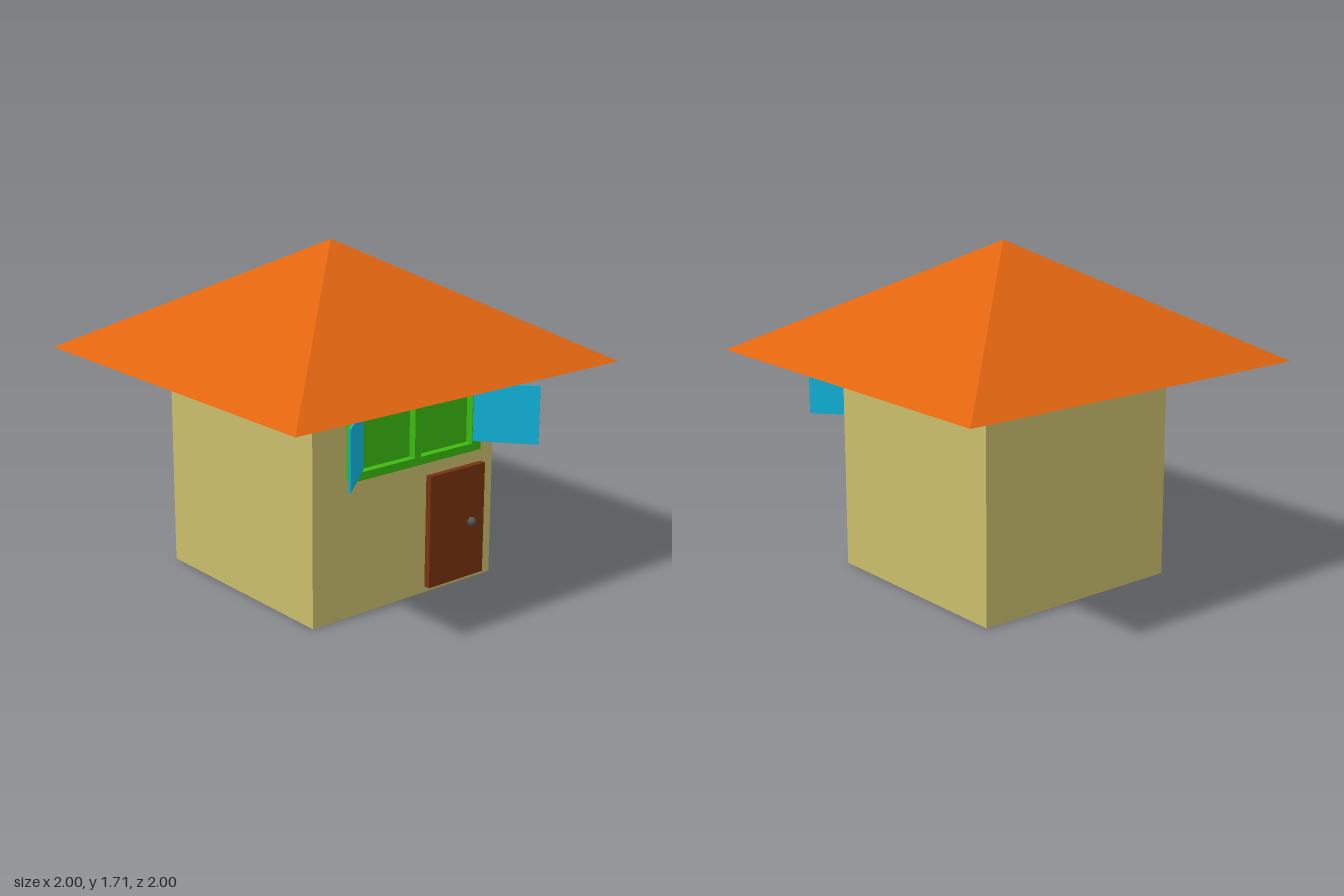
import * as THREE from 'three';

const paint = (color) => new THREE.MeshStandardMaterial({ color, flatShading: true });

export function createModel() {
  const house = new THREE.Group();
  house.name = 'house';
  const cream = paint(0xcabd6c), orange = paint(0xe0640f), green = paint(0x3cba10);
  const blue = paint(0x12b4dc), brown = paint(0x78320f);

  const add = (parent, name, geometry, material, x, y, z) => {
    const mesh = new THREE.Mesh(geometry, material);
    mesh.name = name;
    mesh.position.set(x, y, z);
    parent.add(mesh);
    return mesh;
  };

  // Walls and pyramid roof with a closed underside
  add(house, 'walls', new THREE.BoxGeometry(1.15, 1.125, 1.15), cream, 0, 0.5625, 0);
  const roof = new THREE.ConeGeometry(Math.SQRT2, 0.58, 4);
  roof.rotateY(Math.PI / 4);
  add(house, 'roof', roof, orange, 0, 1.415, 0);

  // Window: a frame with two openings, drawn in (-z, y) and extruded towards +x
  const win = new THREE.Group();
  win.name = 'window';
  house.add(win);
  const rect = (Type, a, b, low, high) => new Type([[a, low], [b, low], [b, high], [a, high]]
    .map(([u, v]) => new THREE.Vector2(u, v)));
  const frame = rect(THREE.Shape, -0.375, 0.44, 0.695, 1.095);
  frame.holes.push(
    rect(THREE.Path, -0.32, 0.005, 0.735, 1.045),
    rect(THREE.Path, 0.045, 0.38, 0.735, 1.045));
  const frameGeo = new THREE.ExtrudeGeometry(frame, { depth: 0.055, bevelEnabled: false });
  frameGeo.rotateY(Math.PI / 2);
  add(win, 'windowFrame', frameGeo, green, 0.573, 0, 0);
  add(win, 'windowPanel', new THREE.BoxGeometry(0.015, 0.36, 0.76), green, 0.5805, 0.895, -0.03);

  // Open shutters, hinged at the outer edges of the openings: [hinge z, tip x, tip z, centre y]
  [[0.325, 0.84, 0.575, 0.8925], [-0.383, 0.877, -0.587, 0.8975]].forEach(([z, tipX, tipZ, y], i) => {
    const dx = tipX - 0.63, dz = tipZ - z;
    const shutter = add(win, i ? 'backShutter' : 'frontShutter',
      new THREE.BoxGeometry(Math.hypot(dx, dz), 0.295, 0.01), blue, 0.63 + dx / 2, y, z + dz / 2);
    shutter.rotation.y = Math.atan2(-dz, dx);
  });

  // Door with a round knob
  const entry = new THREE.Group();
  entry.name = 'entry';
  house.add(entry);
  add(entry, 'door', new THREE.BoxGeometry(0.035, 0.58, 0.365), brown, 0.591, 0.32, -0.3125);
  add(entry, 'doorKnob', new THREE.SphereGeometry(0.023, 24, 16),
    new THREE.MeshStandardMaterial({ color: 0x555555 }), 0.615, 0.32, -0.405);

  return house;
}
